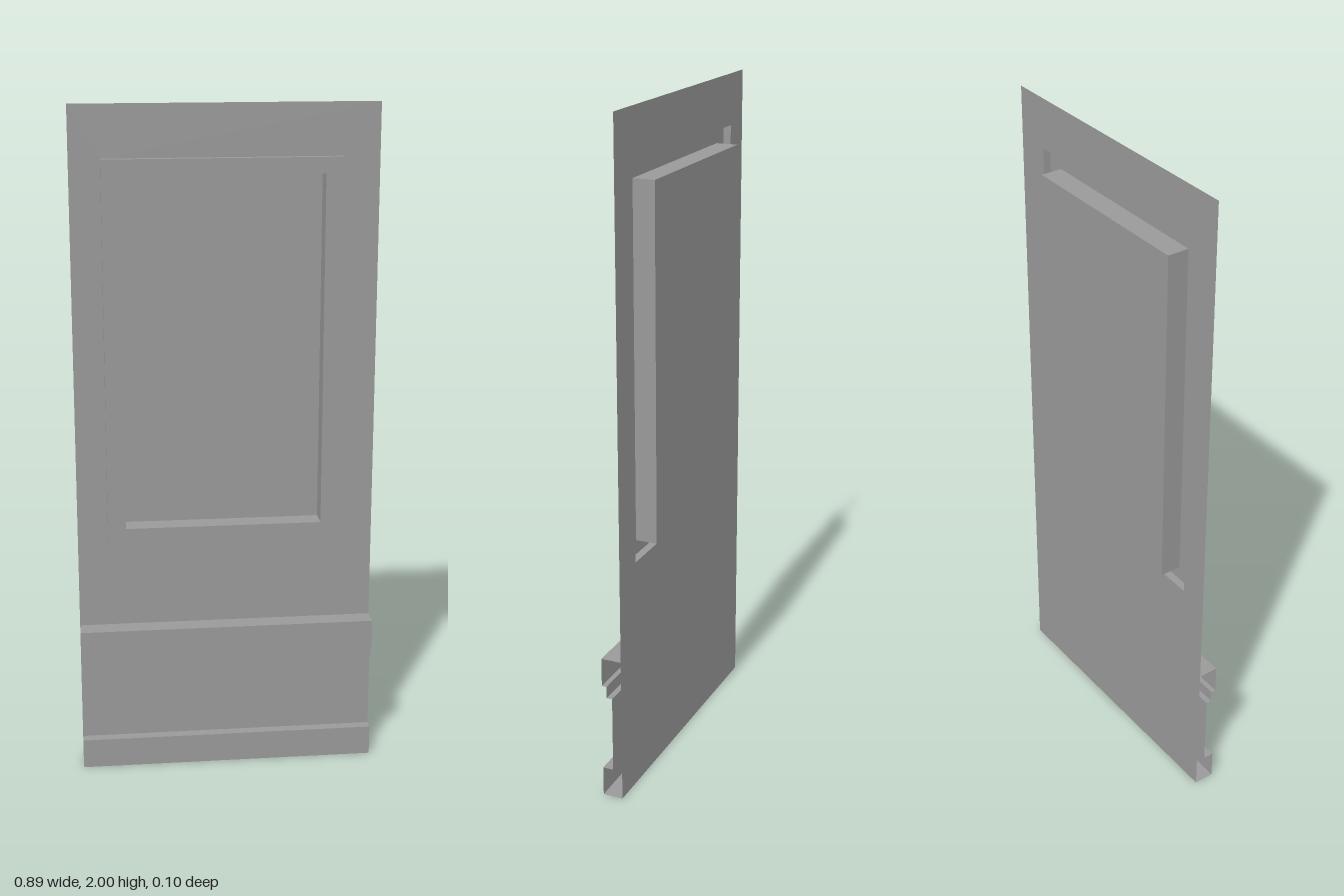
import * as THREE from 'three';

const material = new THREE.MeshStandardMaterial({ color: 0x999999, flatShading: true, side: THREE.DoubleSide });

const HALF_WIDTH = 0.444;
const WALL_Z = -0.01, FRAME_Z = 0.013, BACK_Z = -0.052;

// Counter-clockwise corners of an upright rectangle at depth z
const rect = ([x0, x1, y0, y1], z) => [[x0, y0, z], [x1, y0, z], [x1, y1, z], [x0, y1, z]];

// Flat sheet mesh made from a list of four-cornered faces
function sheet(name, quads) {
  const points = quads.flatMap(([a, b, c, d]) => [a, b, c, a, c, d]).flat();
  const geometry = new THREE.BufferGeometry();
  geometry.setAttribute('position', new THREE.Float32BufferAttribute(points, 3));
  geometry.computeVertexNormals();
  const mesh = new THREE.Mesh(geometry, material);
  mesh.name = name;
  return mesh;
}

// Faces joining an outer rectangle to an inner one
function ring(outer, inner) {
  return outer.map((p, i) => {
    const j = (i + 1) % 4;
    return [p, outer[j], inner[j], inner[i]];
  });
}

export function createModel() {
  const group = new THREE.Group();
  group.name = 'wallPanel';

  const wall = [-HALF_WIDTH, HALF_WIDTH, 0.445, 2];
  const frame = [-0.354, 0.338, 0.713, 1.848];
  const niche = [-0.301, 0.285, 0.757, 1.801];

  // Upper wall with an opening for the frame
  group.add(sheet('wall', ring(rect(wall, WALL_Z), rect(frame, WALL_Z))));

  // Raised frame: outer edge and front face
  group.add(sheet('frame', [
    ...ring(rect(frame, WALL_Z), rect(frame, FRAME_Z)),
    ...ring(rect(frame, FRAME_Z), rect(niche, FRAME_Z)),
  ]));

  // Niche sides and back panel
  group.add(sheet('nicheSides', ring(rect(niche, FRAME_Z), rect(niche, BACK_Z))));
  group.add(sheet('nicheBack', [rect(niche, BACK_Z)]));

  // Open-ended profiles [y, z] running down the front of the lower wall
  const profiles = {
    upperRail: [[0.445, WALL_Z], [0.445, 0.051], [0.358, 0.051], [0.358, 0.036], [0.322, 0.036], [0.322, 0.019]],
    lowerPanel: [[0.322, 0.019], [0.09, 0.019]],
    baseboard: [[0.09, 0.019], [0.09, 0.051], [0, 0.051], [0, WALL_Z]],
    lowerWallBack: [[0.445, WALL_Z], [0, WALL_Z]],
  };
  for (const [name, profile] of Object.entries(profiles)) {
    group.add(sheet(name, profile.slice(1).map(([y, z], i) => {
      const [py, pz] = profile[i];
      return [[-HALF_WIDTH, py, pz], [-HALF_WIDTH, y, z], [HALF_WIDTH, y, z], [HALF_WIDTH, py, pz]];
    })));
  }
  return group;
}
